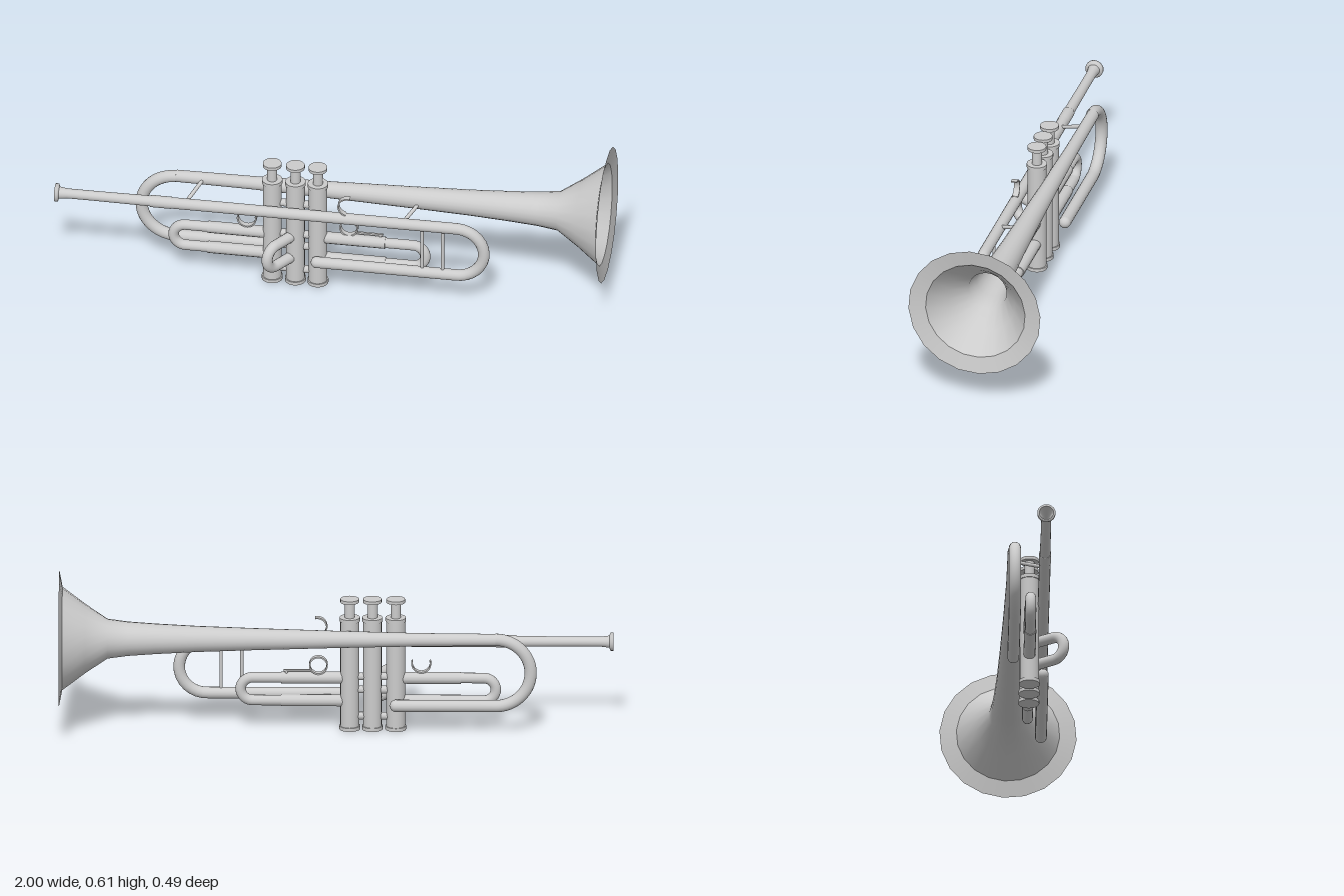
import * as THREE from 'three';

const material = new THREE.MeshStandardMaterial({ color: 0xcccccc, side: THREE.DoubleSide });
const V = (x, y, z) => new THREE.Vector3(x, y, z);

function add(parent, name, geometry, x = 0, y = 0, z = 0) {
  const mesh = new THREE.Mesh(geometry, material);
  mesh.name = name;
  mesh.position.set(x, y, z);
  parent.add(mesh);
  return mesh;
}

// Turned part lying along x; profile is a list of [x, radius]
function turned(parent, name, profile, y, z, sides = 20) {
  const points = profile.map(([x, r]) => new THREE.Vector2(r, x));
  const geometry = new THREE.LatheGeometry(points, sides).rotateZ(-Math.PI / 2);
  return add(parent, name, geometry, 0, y, z);
}

// Straight rod between two points
function rod(parent, name, a, b, r) {
  const mesh = add(parent, name, new THREE.CylinderGeometry(r, r, a.distanceTo(b), 12));
  mesh.position.copy(a).add(b).multiplyScalar(0.5);
  mesh.quaternion.setFromUnitVectors(V(0, 1, 0), b.clone().sub(a).normalize());
  return mesh;
}

// U-shaped tube in the xy plane: upper leg from xTop, bend starting at xBend, lower leg back to xLow
function uTube(parent, name, xTop, xLow, xBend, yTop, yLow, z, r) {
  const group = new THREE.Group();
  group.name = name;
  group.position.z = z;
  parent.add(group);
  const h = (yTop - yLow) / 2, s = Math.sign(xBend - xLow), k = 0.5523 * h;
  const mid = (yTop + yLow) / 2, xEnd = xBend + s * h;
  const path = new THREE.CurvePath();
  if (xTop !== xBend) path.add(new THREE.LineCurve3(V(xTop, yTop, 0), V(xBend, yTop, 0)));
  path.add(new THREE.CubicBezierCurve3(
    V(xBend, yTop, 0), V(xBend + s * k, yTop, 0), V(xEnd, mid + k, 0), V(xEnd, mid, 0)));
  path.add(new THREE.CubicBezierCurve3(
    V(xEnd, mid, 0), V(xEnd, mid - k, 0), V(xBend + s * k, yLow, 0), V(xBend, yLow, 0)));
  path.add(new THREE.LineCurve3(V(xBend, yLow, 0), V(xLow, yLow, 0)));
  add(group, 'tube', new THREE.TubeGeometry(path, 90, r, 16));
  add(group, 'lowerEnd', new THREE.SphereGeometry(r, 16, 10), xLow, yLow);
  return group;
}

// Flat strip bent along an arc in the xy plane, with width along z
function bentStrip(parent, name, x, y, z, radius, from, to) {
  const shape = new THREE.Shape();
  shape.absarc(0, 0, radius, from, to, false);
  shape.absarc(0, 0, radius - 0.005, to, from, true);
  const geometry = new THREE.ExtrudeGeometry(shape, { depth: 0.022, bevelEnabled: false, curveSegments: 24 });
  return add(parent, name, geometry.translate(0, 0, -0.011), x, y, z);
}

function createModel() {
  const model = new THREE.Group();
  model.name = 'trumpet';
  const pipeY = 0.318, pipeZ = 0.112, bellY = 0.362, valveZ = 0.061;

  // Bell with its flat rim and the bend behind it
  turned(model, 'bell', [
    [-0.575, 0.022], [-0.3, 0.024], [0, 0.031], [0.3, 0.04], [0.5, 0.047],
    [0.65, 0.055], [0.75, 0.062], [0.825, 0.072], [0.905, 0.125], [0.988, 0.187],
  ], bellY, 0).rotation.x = 0.07;
  turned(model, 'bellRim', [[0.988, 0.187], [1, 0.248]], bellY, 0).rotation.x = 0.07;
  uTube(model, 'bellBow', -0.575, -0.215, -0.575, bellY, 0.108, 0.003, 0.022);

  // Mouthpiece with hollow cup
  turned(model, 'mouthpieceCup', [[-0.9, 0.003], [-0.955, 0.012], [-0.985, 0.02], [-1, 0.026]], pipeY, pipeZ);
  turned(model, 'mouthpieceRim', [[-1, 0.026], [-1, 0.033], [-0.989, 0.033], [-0.985, 0.022]], pipeY, pipeZ);
  turned(model, 'mouthpieceShank', [[-0.985, 0.022], [-0.955, 0.018], [-0.85, 0.018], [-0.575, 0.02]], pipeY, pipeZ);
  turned(model, 'leadpipeCollar', [[-0.65, 0.018], [-0.65, 0.022], [-0.575, 0.022], [-0.575, 0.019]], pipeY, pipeZ);

  // Leadpipe and main tuning slide
  uTube(model, 'mainTuningSlide', -0.6, -0.045, 0.468, pipeY, 0.118, pipeZ, 0.021);
  for (const x of [0.342, 0.417])
    rod(model, 'slideBrace', V(x, 0.118, pipeZ), V(x, pipeY, pipeZ), 0.006);

  // Valves
  [-0.215, -0.13, -0.048].forEach((x, i) => {
    const valve = new THREE.Group();
    valve.name = `valve${i + 1}`;
    valve.position.set(x, 0, valveZ);
    model.add(valve);
    const disc = (name, r, y0, y1) =>
      add(valve, name, new THREE.CylinderGeometry(r, r, y1 - y0, 24), 0, (y0 + y1) / 2);
    disc('casing', 0.034, 0.005, 0.42);
    disc('bottomCap', 0.038, 0, 0.013);
    disc('topCap', 0.037, 0.412, 0.426);
    disc('stem', 0.018, 0.42, 0.488);
    disc('button', 0.034, 0.484, 0.496);
  });
  for (const y of [0.05, 0.15, 0.2, 0.33])
    rod(model, 'valveConnector', V(-0.215, y, valveZ), V(-0.048, y, valveZ), 0.014);

  // First and third valve slides with their outer sleeves
  uTube(model, 'firstSlide', -0.215, -0.215, -0.532, 0.195, 0.108, valveZ, 0.019);
  uTube(model, 'thirdSlide', -0.048, -0.048, 0.302, 0.195, 0.108, valveZ, 0.019);
  for (const y of [0.195, 0.108]) {
    rod(model, 'firstSleeve', V(-0.215, y, valveZ), V(-0.45, y, valveZ), 0.022);
    rod(model, 'thirdSleeve', V(-0.048, y, valveZ), V(0.2, y, valveZ), 0.022);
  }

  // Short second valve slide, angled outward
  const second = uTube(model, 'secondSlide', 0, 0, 0.105, 0.198, 0.11, valveZ, 0.02);
  second.position.x = -0.13;
  second.rotation.y = Math.atan2(-0.83, -0.56);

  // Braces between leadpipe and bell
  rod(model, 'rearBrace', V(-0.525, 0.322, pipeZ), V(-0.475, 0.365, 0.01), 0.007);
  rod(model, 'frontBrace', V(0.27, 0.322, pipeZ), V(0.325, 0.362, 0.01), 0.007);

  // Finger hook, ring and thumb saddle
  bentStrip(model, 'fingerHook', 0.07, 0.372, pipeZ, 0.037, 1.35, 4.5);
  bentStrip(model, 'fingerRing', 0.065, 0.245, valveZ - 0.006, 0.034, 0, Math.PI * 2 - 0.001);
  bentStrip(model, 'thumbSaddle', -0.307, 0.251, valveZ, 0.036, Math.PI - 0.3, Math.PI * 2 + 0.3);
  rod(model, 'saddlePost', V(-0.307, 0.2, valveZ), V(-0.307, 0.218, valveZ), 0.007);
  rod(model, 'ringPost', V(0.065, 0.2, valveZ), V(0.065, 0.213, valveZ), 0.007);
  add(model, 'stopRod', new THREE.BoxGeometry(0.1, 0.007, 0.008), 0.14, 0.224, valveZ - 0.006);
  rod(model, 'stopPost', V(0.18, 0.2, valveZ - 0.006), V(0.18, 0.224, valveZ - 0.006), 0.005);

  return model;
}

export { createModel };
